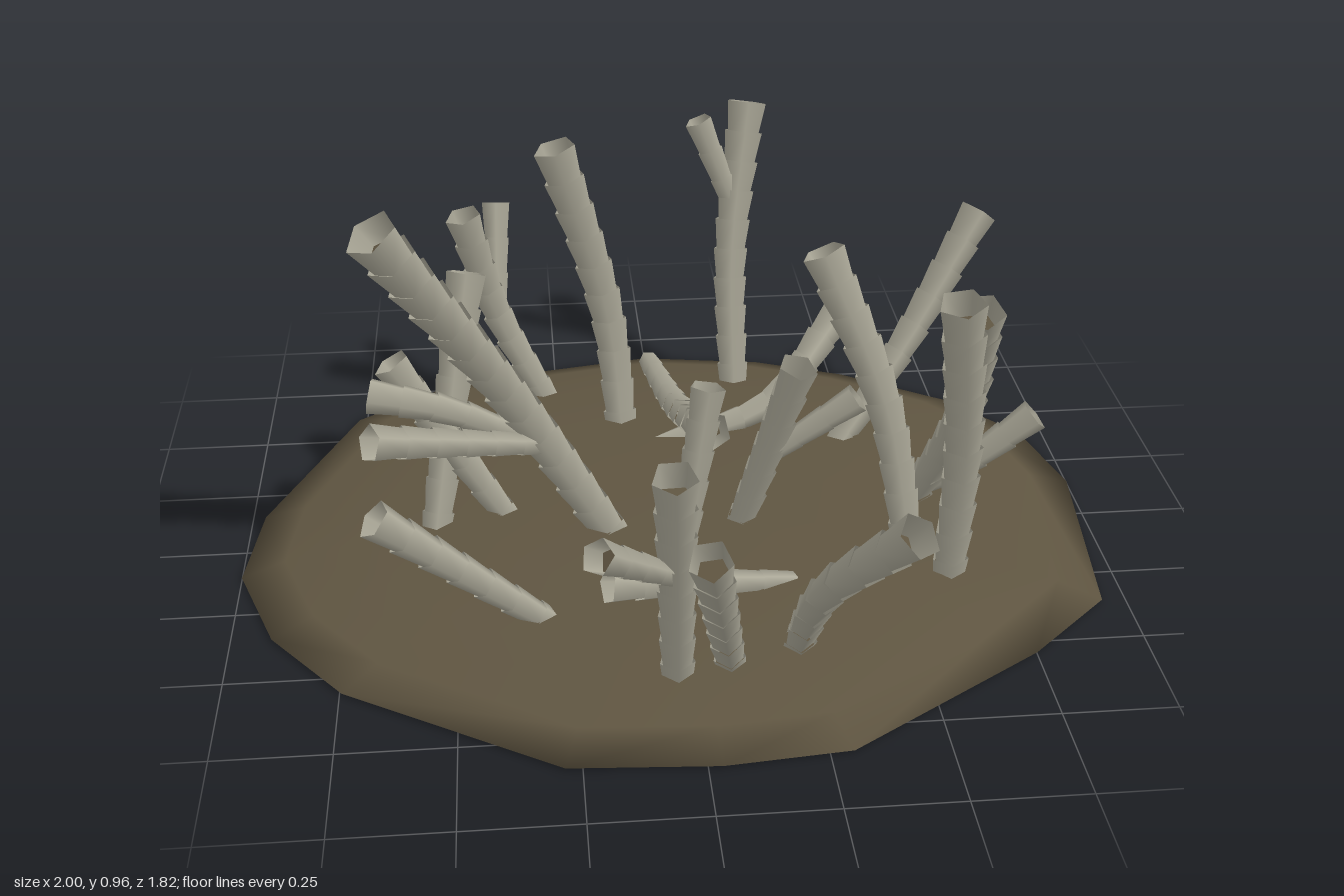
import * as THREE from 'three';
import { mergeGeometries } from 'three/addons/utils/BufferGeometryUtils.js';

const UP = new THREE.Vector3(0, 1, 0);
const INWARD = new THREE.Matrix3().multiplyScalar(-1);
const { lerp } = THREE.MathUtils;

function makeMaterial(name, color) {
  const m = new THREE.MeshStandardMaterial({ color, side: THREE.DoubleSide });
  m.name = name;
  return m;
}

// Seabed mound: a shallow dome over a flat base, lofted from one irregular
// outline; each ring is [scale, height], from the base centre over the rim
function moundGeometry() {
  const outline = [
    [0, -.88], [.31, -.83], [.53, -.74], [.79, -.57], [.94, -.385], [1, -.14],
    [.945, .365], [.75, .545], [.3, .835], [.03, .86], [-.285, .84], [-.745, .56],
    [-.91, .355], [-1, .11], [-.97, -.145], [-.77, -.6], [-.545, -.76], [-.275, -.83]];
  const rings = [[.001, 0], [.9, 0], [1, 0], [.9, .033], [.7, .066], [.45, .085], [.2, .09], [.001, .092]];
  const n = outline.length, pos = [], idx = [];
  for (const [s, y] of rings) for (const [x, z] of outline) pos.push(x * s, y, z * s);
  for (let r = 0; r < rings.length - 1; r++) {
    for (let i = 0; i < n; i++) {
      const a = r * n + i, b = r * n + (i + 1) % n;
      idx.push(a, a + n, b, b, a + n, b + n);
    }
  }
  const g = new THREE.BufferGeometry();
  g.setAttribute('position', new THREE.Float32BufferAttribute(pos, 3));
  g.setIndex(idx);
  g.computeVertexNormals();
  return g;
}

// Curve from start to tip, its middle pushed aside by bend
function bentCurve(start, tip, bend) {
  const end = new THREE.Vector3(...tip);
  const middle = start.clone().lerp(end, .5).add(new THREE.Vector3(...bend));
  return new THREE.CatmullRomCurve3([start, middle, end]);
}

// Stalk: five-sided flared cups stacked along a curve; the last one is hollow.
// Longer stalks are thicker, low-lying ones taper more towards the root.
function makeStalk(name, curve, coral, floorMat) {
  const length = curve.getLength();
  const rise = curve.getPoint(1).y - curve.getPoint(0).y;
  const tipRadius = .026 + .028 * length;
  const rootRadius = tipRadius * lerp(.5, .8, rise / length);
  const count = Math.max(3, Math.round(length / .078));
  const group = new THREE.Group();
  group.name = name;
  const cups = [];
  for (let i = 1; i <= count; i++) {
    const a = curve.getPointAt((i - 1) / count), b = curve.getPointAt(i / count);
    const dir = b.clone().sub(a).normalize();
    const q = new THREE.Quaternion().setFromUnitVectors(UP, dir);
    const r = lerp(rootRadius, tipRadius, i / count);
    const mid = a.clone().lerp(b, .5);
    const cup = new THREE.CylinderGeometry(r * 1.1, r * .87, a.distanceTo(b) + .012, 5, 1, true)
      .applyQuaternion(q).translate(mid.x, mid.y, mid.z);
    // Inward normals shade the cups as hollow shells
    cup.attributes.normal.applyMatrix3(INWARD);
    cups.push(cup);
    if (i === count) {
      const floor = new THREE.Mesh(new THREE.CylinderGeometry(r * .88, r * .86, .004, 5), floorMat);
      floor.name = 'mouthFloor';
      floor.quaternion.copy(q);
      floor.position.copy(a).lerp(b, .25);
      group.add(floor);
    }
  }
  const body = new THREE.Mesh(mergeGeometries(cups), coral);
  body.name = 'stalkSegments';
  group.add(body);
  return group;
}

export function createModel() {
  const model = new THREE.Group();
  model.name = 'tubeCoralBed';
  const sand = makeMaterial('brown seabed', 0x5f5541);
  const coral = makeMaterial('pale grey coral', 0xaaa797);

  const mound = new THREE.Mesh(moundGeometry(), sand);
  mound.name = 'seabedMound';
  model.add(mound);

  // Grow a stalk at (x, z), rooted inside the mound at height y
  const grow = (name, x, z, tip, bend = [0, 0, 0], y = .02) => {
    const curve = bentCurve(new THREE.Vector3(x, y, z), tip, bend);
    model.add(makeStalk(name, curve, coral, sand));
    return curve;
  };
  // Fork a branch off a stalk at fraction t of its length
  const fork = (name, parent, t, tip, bend = [0, 0, 0]) =>
    model.add(makeStalk(name, bentCurve(parent.getPointAt(t), tip, bend), coral, sand));

  // Back of the bed
  const back = grow('backStalk', .22, -.63, [.27, .75, -.86], [-.025, 0, 0]);
  fork('backBranch', back, .65, [.14, .73, -.79]);
  const backLeft = grow('backOuterStalk', -.265, -.6, [-.47, .57, -.6], [-.03, 0, -.025]);
  fork('backOuterBranch', backLeft, .52, [-.39, .54, -.74]);
  grow('backTallStalk', -.09, -.4, [-.24, .8, -.46], [.045, -.06, -.04]);
  grow('lyingStalk', 0, -.72, [.1, .23, -.07], [0, -.04, 0], .08);
  grow('backLowStalk', -.02, -.3, [.47, .28, -.54], [.05, -.04, .05], .06);
  grow('backLeaningStalk', .41, -.26, [.82, .56, -.54], [0, -.03, 0]);

  // Left side
  grow('leftLowStalk', .53, -.04, [.85, .28, .01], [-.01, -.02, .015], .04);
  grow('leftTallStalk', .6, .3, [.56, .78, .41], [.02, 0, -.015]);
  grow('leftCurvedStalk', .57, -.03, [.64, .69, .27], [.045, 0, 0]);
  grow('leftInnerStalk', .54, .16, [.34, .72, .01], [.04, 0, 0]);

  // Centre
  const centre = grow('centreStalk', .14, .07, [.26, .53, .19]);
  fork('centreBranch', centre, .5, [.4, .42, .14]);
  grow('centreShortStalk', 0, .19, [.07, .45, .12]);
  grow('centreLowStalk', .24, .33, [-.17, .17, .46], [0, 0, 0], .07);

  // Front
  const front = grow('frontStalk', -.04, .61, [-.06, .62, .77]);
  fork('frontBranch', front, .55, [-.21, .52, .87]);
  grow('frontShortStalk', .08, .57, [0, .49, .86]);
  grow('frontCurvedStalk', .22, .52, [.39, .53, .87], [-.055, .03, .02]);

  // Right side
  grow('rightLowStalk', -.27, .4, [-.65, .38, .49]);
  const tall = grow('rightTallStalk', -.12, .09, [-.63, .92, .27], [.02, -.03, -.06]);
  fork('rightUpperBranch', tall, .31, [-.67, .47, .12], [-.03, .045, .02]);
  fork('rightLowerBranch', tall, .32, [-.66, .47, .33]);
  grow('rightUprightStalk', -.56, .05, [-.46, .61, -.18]);
  grow('rightLeaningStalk', -.36, 0, [-.63, .47, -.02]);

  return model;
}
